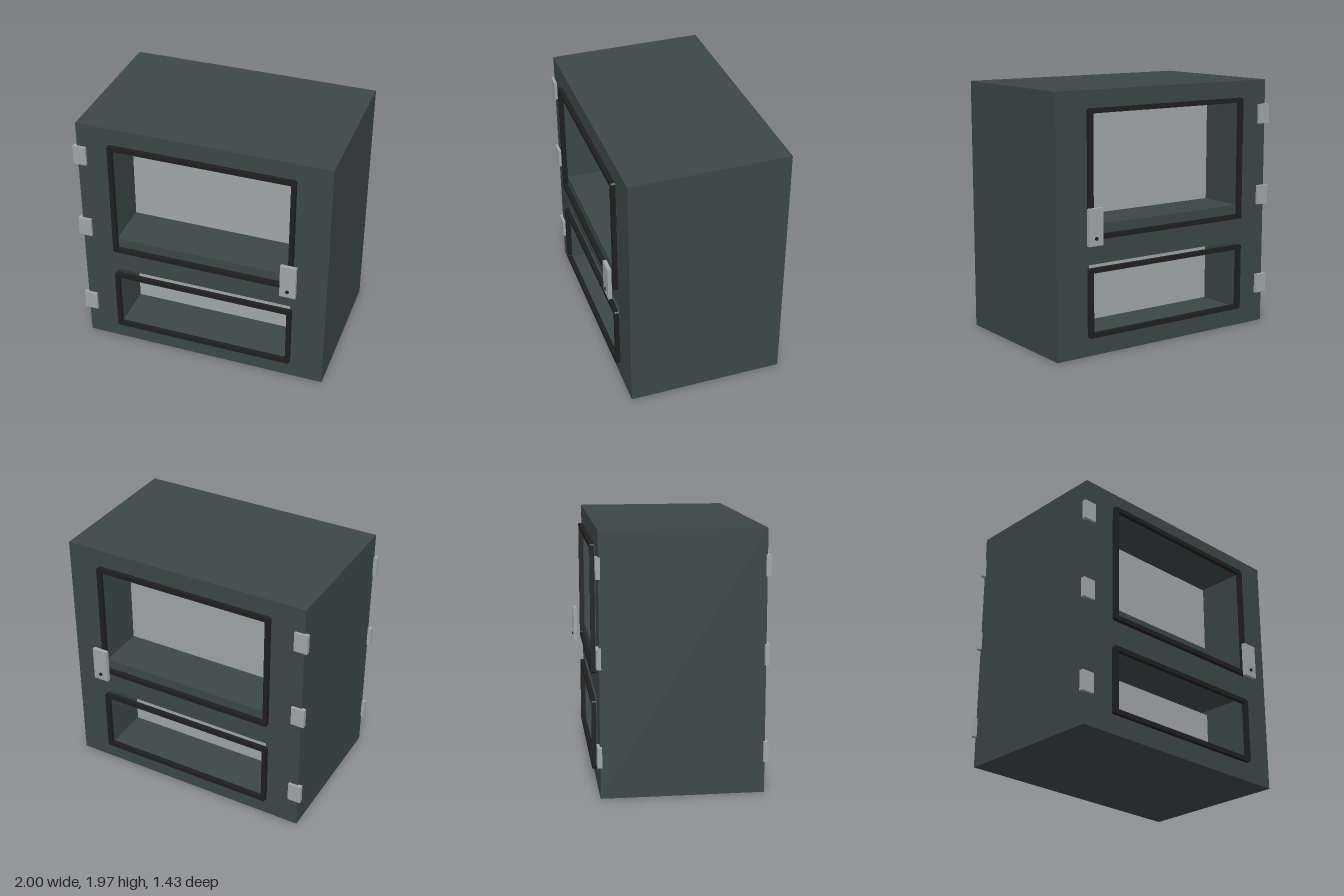
import * as THREE from 'three';

const material = (name, color) => {
  const m = new THREE.MeshStandardMaterial({ color });
  m.name = name;
  return m;
};

export function createModel() {
  const model = new THREE.Group();
  model.name = 'cabinet';
  const body = material('dark slate', 0x3b4747);
  const metal = material('light grey', 0xa0a6a9);
  const black = material('black', 0x1f1f1f);

  const add = (name, geometry, mat) => {
    const mesh = new THREE.Mesh(geometry, mat);
    mesh.name = name;
    model.add(mesh);
    return mesh;
  };
  // Box given by its limits on each axis
  const box = (name, mat, [x0, x1], [y0, y1], [z0, z1]) => {
    const mesh = add(name, new THREE.BoxGeometry(x1 - x0, y1 - y0, z1 - z0), mat);
    mesh.position.set((x0 + x1) / 2, (y0 + y1) / 2, (z0 + z1) / 2);
    return mesh;
  };

  const H = 1.965, D = 0.607, L = -0.69, R = 0.72;
  const depth = [-D, D];

  // Side stiles and the rails between them
  box('hingeSideStile', body, [-0.97, L], [0, H], depth);
  box('latchSideStile', body, [R, 1], [0, H], depth);
  box('bottomRail', body, [L, R], [0, 0.15], depth);
  box('middleRail', body, [L, R], [0.69, 0.985], depth);
  box('topRail', body, [L, R], [1.81, H], depth);

  // Panels set deep inside the openings
  box('upperPanel', metal, [L, R], [0.985, 1.81], [-0.23, 0.23]);
  box('lowerPanel', metal, [L, R], [0.15, 0.655], [-0.23, 0.23]);

  // Window frame with clipped corners
  const frameGeometry = (y0, y1) => {
    const outline = (Type, inset, c) => {
      const a = -0.71 + inset, b = 0.74 - inset, lo = y0 + inset, hi = y1 - inset;
      return new Type([
        [a + c, lo], [b - c, lo], [b, lo + c], [b, hi - c],
        [b - c, hi], [a + c, hi], [a, hi - c], [a, lo + c],
      ].map(([x, y]) => new THREE.Vector2(x, y)));
    };
    const shape = outline(THREE.Shape, 0, 0.01);
    shape.holes.push(outline(THREE.Path, 0.035, 0.001));
    return new THREE.ExtrudeGeometry(shape, { depth: 0.034, bevelEnabled: false });
  };

  // Fittings repeat on the front and the back
  for (const [side, s] of [['front', 1], ['back', -1]]) {
    const zRange = (a, b) => (s > 0 ? [a, b] : [-b, -a]);
    for (const [name, y0, y1] of [['UpperFrame', 0.88, 1.835], ['LowerFrame', 0.145, 0.668]]) {
      add(side + name, frameGeometry(y0, y1), black).position.z = zRange(0.614, 0.648)[0];
    }
    for (const y of [0.24, 0.97, 1.62]) {
      box(side + 'Hinge', metal, [-1, -0.895], [y, y + 0.153], zRange(0.594, 0.628));
    }
    box(side + 'LatchPlate', metal, [0.66, 0.784], [0.85, 1.125], zRange(0.676, 0.706));
    const lock = add(side + 'Lock', new THREE.CylinderGeometry(0.013, 0.013, 0.02, 16), black);
    lock.rotation.x = Math.PI / 2;
    lock.position.set(0.722, 0.904, s * 0.705);
  }
  return model;
}
